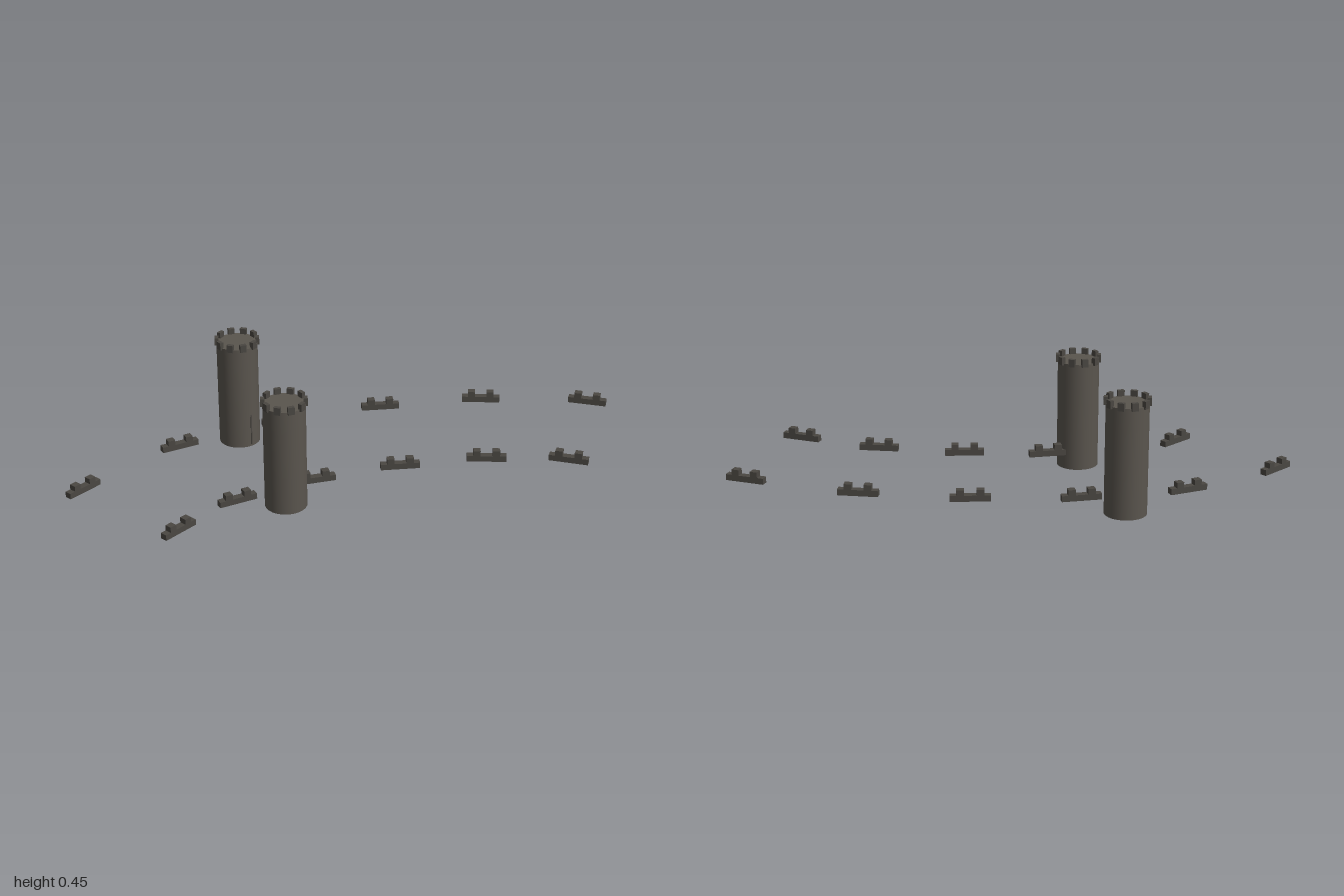
import * as THREE from 'three';

const stone = new THREE.MeshStandardMaterial({ name: 'stone', color: 0x5a554e });
const darkStone = new THREE.MeshStandardMaterial({ name: 'darkStone', color: 0x4a4742 });

function addMesh(parent, name, geometry, material, x, y, z) {
  const mesh = new THREE.Mesh(geometry, material);
  mesh.name = name;
  mesh.position.set(x, y, z);
  parent.add(mesh);
  return mesh;
}

// Round tower with a ring of ten merlons
function makeTower(x, z) {
  const tower = new THREE.Group();
  tower.name = 'tower';
  tower.position.set(x, 0, z);
  addMesh(tower, 'towerBody', new THREE.CylinderGeometry(0.08, 0.08, 0.425, 24), stone, 0, 0.2125, 0);
  const merlon = new THREE.BoxGeometry(0.015, 0.03, 0.025);
  for (let i = 0; i < 10; i++) {
    const a = (i / 10) * Math.PI * 2;
    const m = addMesh(tower, 'towerMerlon', merlon, darkStone, 0.079 * Math.cos(a), 0.432, 0.079 * Math.sin(a));
    m.rotation.y = -a;
  }
  return tower;
}

// Short wall block with two merlons, turned by an angle in degrees
const wallBox = new THREE.BoxGeometry(0.15, 0.023, 0.027);
const wallMerlon = new THREE.BoxGeometry(0.028, 0.021, 0.027);
function makeWall(x, y, z, degrees) {
  const wall = new THREE.Group();
  wall.name = 'wallSegment';
  wall.position.set(x, y, z);
  wall.rotation.y = -THREE.MathUtils.degToRad(degrees);
  addMesh(wall, 'wallBlock', wallBox, darkStone, 0, 0.0115, 0);
  for (const side of [-1, 1]) addMesh(wall, 'wallMerlon', wallMerlon, darkStone, side * 0.037, 0.0335, 0);
  return wall;
}

export function createModel() {
  const model = new THREE.Group();
  model.name = 'curvedRamparts';

  const backTower = makeTower(-0.2, -0.537);
  model.add(makeTower(-0.362, -0.007), backTower);
  // Narrow slit on the front of the back tower
  addMesh(backTower, 'slit', new THREE.BoxGeometry(0.005, 0.13, 0.004), darkStone, 0, 0.073, 0.08);

  // Two curved rows of wall blocks, each rising step by step: [x, z, angle]
  const rows = [
    [[-0.922, -0.535, -11], [-0.467, -0.565, 10], [-0.058, -0.457, 22],
      [0.31, -0.283, 31], [0.645, -0.055, 41], [0.942, 0.25, 53]],
    [[-0.804, -0.064, -11], [-0.532, -0.08, 10], [-0.23, 0.003, 22],
      [0.064, 0.144, 31], [0.337, 0.328, 40], [0.552, 0.552, 54]],
  ];
  for (const row of rows) {
    row.forEach(([x, z, angle], i) => model.add(makeWall(x, 0.018 + 0.0187 * i, z, angle)));
  }
  return model;
}
